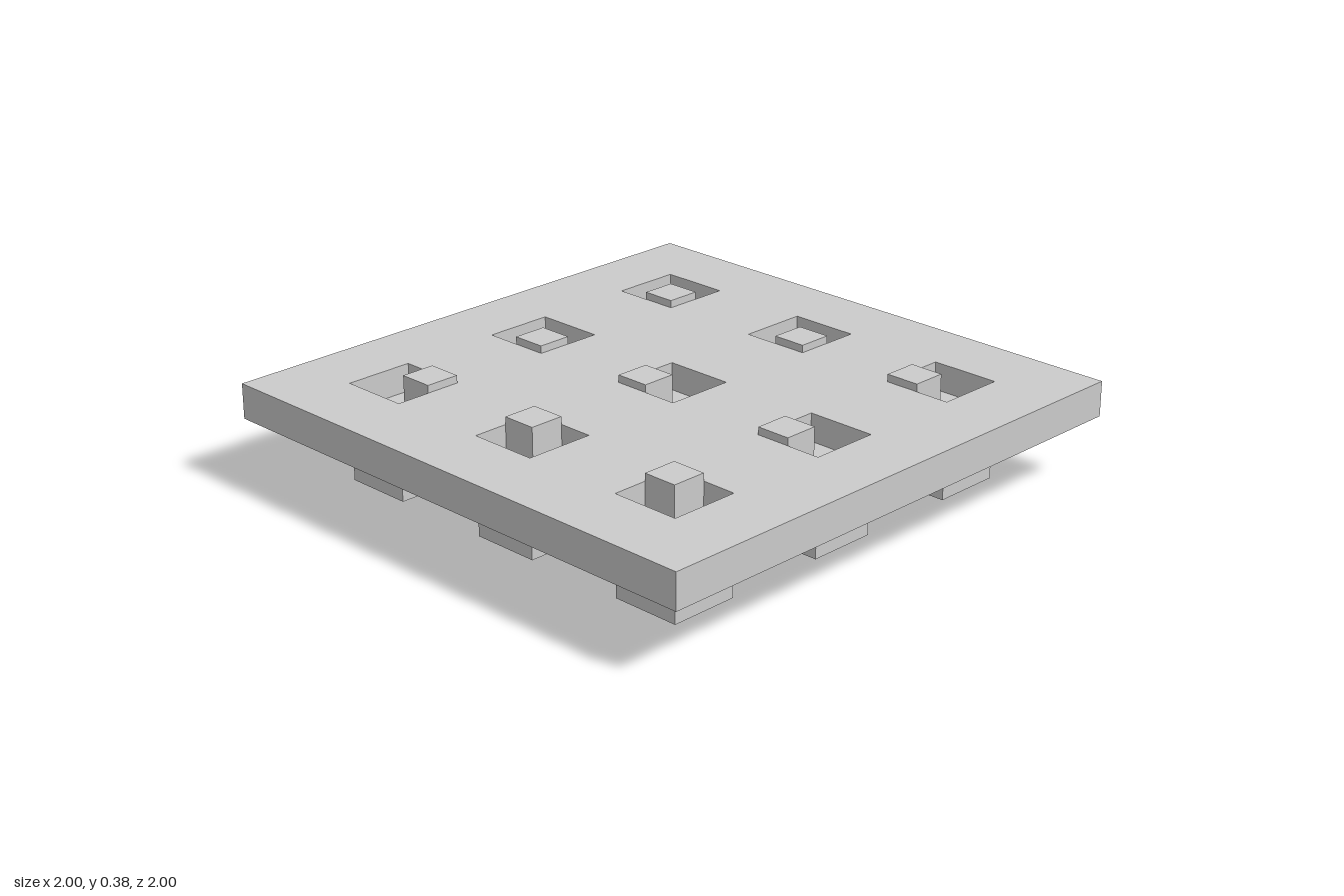
import * as THREE from 'three';

const BLOCK = 0.25;            // socket block edge
const PEG = BLOCK / 2;         // peg edge
const PITCH = 0.625;           // grid spacing
const PLATE_Y = 0.223;
const PLATE_T = 0.125;

// Corner of its block each peg sits in: [x sign, z sign], rows from back to front
const PEG_CORNERS = [
  [[1, 1], [1, 1], [-1, 1]],
  [[1, 1], [-1, 1], [-1, 1]],
  [[1, -1], [-1, -1], [-1, -1]],
];

function square(path, cx, cy, size) {
  const h = size / 2;
  path.moveTo(cx - h, cy - h);
  path.lineTo(cx + h, cy - h);
  path.lineTo(cx + h, cy + h);
  path.lineTo(cx - h, cy + h);
  path.closePath();
  return path;
}

export function createModel() {
  const group = new THREE.Group();
  const material = new THREE.MeshStandardMaterial({ color: 0xcccccc, flatShading: true });

  const add = (name, geometry, x, y, z) => {
    const mesh = new THREE.Mesh(geometry, material);
    mesh.name = name;
    mesh.position.set(x, y, z);
    group.add(mesh);
  };

  const plateShape = square(new THREE.Shape(), 0, 0, 2);
  const blockGeometry = new THREE.BoxGeometry(BLOCK, BLOCK, BLOCK);
  const pegGeometry = new THREE.BoxGeometry(PEG, PEG, PEG);

  // Blocks close the square holes from below; a peg stands in one corner of each
  PEG_CORNERS.forEach((row, r) => row.forEach(([sx, sz], c) => {
    const x = (c - 1) * PITCH;
    const z = (r - 1) * PITCH;
    plateShape.holes.push(square(new THREE.Path(), x, -z, BLOCK));
    add('block', blockGeometry, x, BLOCK / 2, z);
    add('peg', pegGeometry, x + sx * PEG / 2, BLOCK + PEG / 2, z + sz * PEG / 2);
  }));

  // Plate with nine square holes
  const plateGeometry = new THREE.ExtrudeGeometry(plateShape, { depth: PLATE_T, bevelEnabled: false });
  plateGeometry.rotateX(-Math.PI / 2);
  add('plate', plateGeometry, 0, PLATE_Y, 0);

  return group;
}
